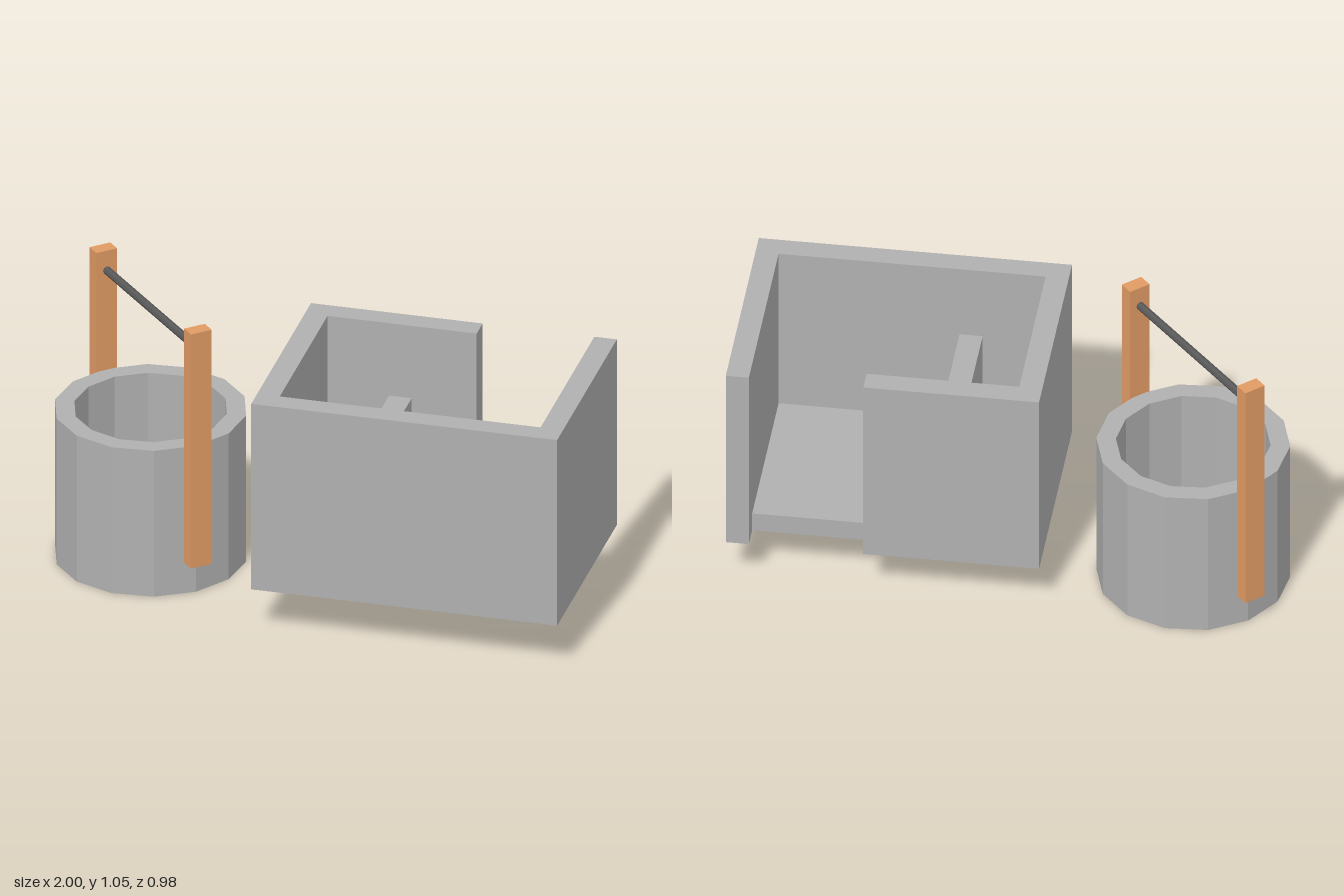
import * as THREE from 'three';

function material(name, color) {
  const m = new THREE.MeshStandardMaterial({ color });
  m.name = name;
  return m;
}

function addMesh(parent, name, geometry, mat, x = 0, y = 0, z = 0) {
  const mesh = new THREE.Mesh(geometry, mat);
  mesh.name = name;
  mesh.position.set(x, y, z);
  parent.add(mesh);
  return mesh;
}

// Faceted solid with one normal per face
function faceted(geometry) {
  const g = geometry.toNonIndexed();
  g.computeVertexNormals();
  return g;
}

function createWell(stone, wood, dark) {
  const well = new THREE.Group();
  well.name = 'well';
  well.position.set(-0.655, 0, -0.155);
  const sides = 14, outer = 0.346, inner = 0.276, height = 0.58;

  // Open stone ring
  const profile = [[outer, 0], [outer, height], [inner, height], [inner, 0], [outer, 0]]
    .map(([r, y]) => new THREE.Vector2(r, y));
  addMesh(well, 'wellRing', faceted(new THREE.LatheGeometry(profile, sides, Math.PI / 2)), stone);

  // Dark water surface down in the shaft
  const water = new THREE.CylinderGeometry(inner, inner, 0.008, sides, 1, false, Math.PI / 2);
  addMesh(well, 'water', faceted(water), dark, 0, 0.164, 0);

  // Posts and crossbar, set diagonally across the ring
  const frame = new THREE.Group();
  frame.name = 'wellFrame';
  frame.rotation.y = Math.atan2(0.45, 0.57);
  well.add(frame);
  for (const s of [-1, 1]) {
    addMesh(frame, s > 0 ? 'frontPost' : 'backPost',
      new THREE.BoxGeometry(0.083, 0.931, 0.053), wood, 0, 0.588, s * 0.365);
  }
  const bar = new THREE.CylinderGeometry(0.015, 0.015, 0.69, 8).rotateX(Math.PI / 2);
  addMesh(frame, 'crossbar', faceted(bar), dark, 0, 0.976, 0);
  return well;
}

function createHouse(stone) {
  const house = new THREE.Group();
  house.name = 'house';
  house.position.set(0.409, 0.18, 0.039);
  house.rotation.y = -0.07;
  const w = 0.563, d = 0.4145, t = 0.083, height = 0.738, floorHeight = 0.075;
  const doorX = -w + 0.632; // end of the back wall, where the doorway starts

  // Walls as one outline, open at the doorway in the back
  const outline = [
    [-w, -d], [w, -d], [w, d], [w - t, d], [w - t, -d + t],
    [-w + t, -d + t], [-w + t, d - t], [doorX, d - t], [doorX, d], [-w, d],
  ].map(([x, y]) => new THREE.Vector2(x, y));
  const walls = new THREE.ExtrudeGeometry(new THREE.Shape(outline), { depth: height, bevelEnabled: false });
  addMesh(house, 'walls', walls.rotateX(-Math.PI / 2), stone);

  // Floor between the walls
  const innerW = 2 * (w - t), innerD = 2 * (d - t);
  addMesh(house, 'floor', new THREE.BoxGeometry(innerW, floorHeight, innerD), stone, 0, floorHeight / 2, 0);

  // Low partition across the room
  const top = 0.45;
  addMesh(house, 'partition', new THREE.BoxGeometry(t, top - floorHeight, innerD), stone,
    -0.212, (top + floorHeight) / 2, 0);
  return house;
}

export function createModel() {
  const stone = material('stone grey', 0xb0b0b0);
  const wood = material('wood brown', 0xe09b64);
  const dark = material('dark grey', 0x585858);
  const model = new THREE.Group();
  model.name = 'houseAndWell';
  model.add(createWell(stone, wood, dark), createHouse(stone));
  return model;
}
